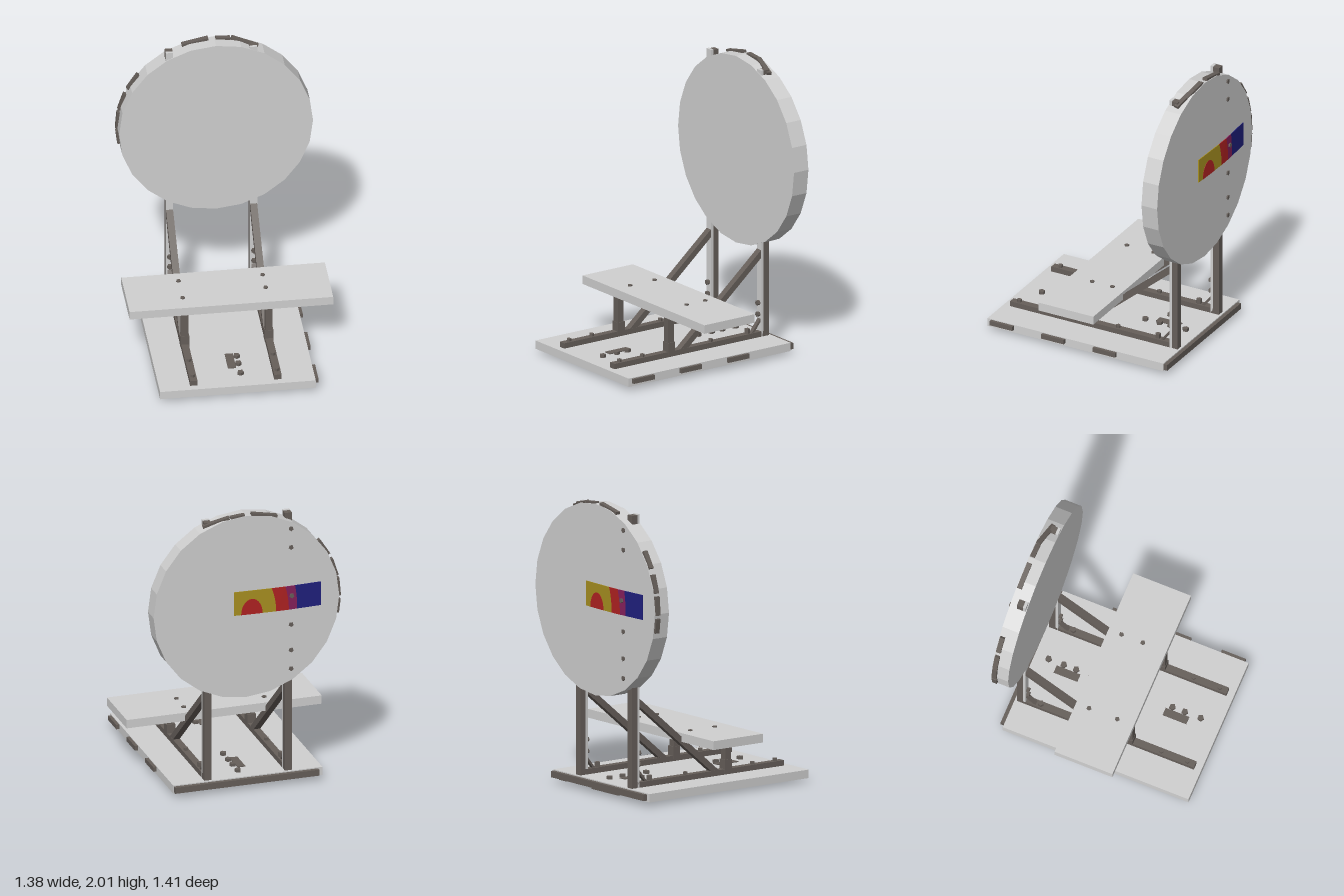
import * as THREE from 'three';

const mat = (name, color) => {
  const m = new THREE.MeshStandardMaterial({ color });
  m.name = name;
  return m;
};

export function createModel() {
  const root = new THREE.Group();
  root.name = 'targetStand';
  const light = mat('lightGrey', 0xd0d0d0);
  const dark = mat('darkGrey', 0x665f5a);
  const yellow = mat('yellow', 0xa89020);
  const red = mat('red', 0xb02222);
  const purple = mat('purple', 0x86205c);
  const blue = mat('blue', 0x20207e);

  const add = (name, geo, material) => {
    const m = new THREE.Mesh(geo, material);
    m.name = name;
    root.add(m);
    return m;
  };
  // Box given by its extents on each axis
  const box = (name, x0, x1, y0, y1, z0, z1, material = dark) => {
    const m = add(name, new THREE.BoxGeometry(x1 - x0, y1 - y0, z1 - z0), material);
    m.position.set((x0 + x1) / 2, (y0 + y1) / 2, (z0 + z1) / 2);
    return m;
  };
  // Slanted bar in the y-z plane
  const bar = (name, x, w, t, [y0, z0], [y1, z1]) => {
    const m = add(name, new THREE.BoxGeometry(w, t, Math.hypot(y1 - y0, z1 - z0)), dark);
    m.position.set(x, (y0 + y1) / 2, (z0 + z1) / 2);
    m.rotation.x = -Math.atan2(y1 - y0, z1 - z0);
    return m;
  };
  // Five-sided bolt head, upright or pointing along z
  const bolt = (x, y, z, alongZ = false, r = 0.02, h = 0.022) => {
    const m = add('bolt', new THREE.CylinderGeometry(r, r, h, 5).toNonIndexed(), dark);
    m.geometry.computeVertexNormals();
    m.position.set(x, y, z);
    if (alongZ) m.rotation.x = Math.PI / 2;
  };

  // Base board with underside panel, rear bar and edge plates
  box('baseBoard', -0.55, 0.505, 0.027, 0.085, -0.645, 0.705, light);
  box('undersidePanel', -0.13, 0.16, 0, 0.027, -0.59, 0.65);
  box('rearBar', -0.52, 0.5, 0.035, 0.078, -0.672, -0.645);
  for (const z of [0.59, 0.195, -0.2]) box('edgePlate', 0.505, 0.527, 0.048, 0.08, z - 0.087, z + 0.087);
  for (const z of [-0.55, 0.04]) box('undersidePlate', 0.37, 0.46, 0.02, 0.027, z - 0.085, z + 0.085);
  for (const z of [-0.392, 0.4]) box('topPlate', -0.06, -0.005, 0.085, 0.091, z - 0.086, z + 0.086);
  for (const z of [-0.545, -0.435, -0.345, -0.235, 0.355, 0.445, 0.56]) bolt(0.015, 0.095, z, false, 0.023);
  for (const [x, z] of [[0.255, -0.13], [-0.315, -0.13], [-0.315, -0.41]]) bolt(x, 0.023, z, false, 0.015, 0.012);

  // Two matching side frames
  for (const x of [-0.315, 0.255]) {
    const l = x - 0.025, r = x + 0.025;
    box('runner', l, r, 0.085, 0.122, -0.63, 0.657);
    box('post', l, r, 0.085, 1.955, -0.63, -0.586);
    box('postFacing', l, r, 0.085, 1.96, -0.586, -0.566, light);
    bar('brace', x, 0.048, 0.042, [0.1, 0.1], [0.7, -0.605]);
    bar('gusset', x, 0.03, 0.015, [0.115, -0.5], [0.205, -0.572]);
    box('seatPost', l, r, 0.12, 0.355, 0.163, 0.21);
    box('seatPostFoot', x - 0.03, x + 0.03, 0.1, 0.185, 0.155, 0.213);
    box('seatRail', l, r, 0.335, 0.356, -0.2, 0.2);
    for (const z of [0.6, 0.41, -0.16]) bolt(x, 0.13, z, false, 0.017);
    bolt(x, 0.135, -0.465, false, 0.02, 0.04);
    for (const y of [0.24, 0.32]) bolt(x, y, -0.556, true, 0.018);
  }

  // Seat board
  box('seatBoard', -0.69, 0.69, 0.355, 0.415, -0.21, 0.21, light);
  for (const z of [-0.05, 0.13]) box('seatUnderPlate', 0.56, 0.66, 0.349, 0.355, z - 0.065, z + 0.065);
  for (const [x, z] of [[-0.315, -0.115], [-0.315, 0.09], [0.255, -0.115], [0.255, 0.04]])
    bolt(x, 0.416, z, false, 0.017, 0.014);

  // Upright faceted disc
  const cy = 1.335, R = 0.657;
  const discGeo = new THREE.CylinderGeometry(R, R, 0.12, 24).toNonIndexed();
  discGeo.computeVertexNormals();
  const disc = add('disc', discGeo, light);
  disc.rotation.x = Math.PI / 2;
  disc.position.set(0, cy, -0.622);

  // Plates around the disc rim: angle, length, z, twist
  const rim = [[147, 0.13, -0.66, 0], [162, 0.13, -0.66, 0], [175, 0.13, -0.66, 0], [187, 0.1, -0.66, 0],
    [101.5, 0.185, -0.66, 0], [85, 0.1, -0.66, 0], [72, 0.19, -0.643, 0.2]];
  for (const [deg, len, z, twist] of rim) {
    const a = THREE.MathUtils.degToRad(deg);
    const g = new THREE.BoxGeometry(len, 0.022, 0.034);
    g.rotateY(-twist);
    const m = add('rimPlate', g, dark);
    m.position.set(Math.cos(a) * R, cy + Math.sin(a) * (R - 0.003), z);
    m.rotation.z = a - Math.PI / 2;
  }
  for (const y of [1.86, 1.725, 1.165, 0.98, 0.845]) bolt(-0.315, y, -0.683, true, 0.017, 0.016);
  bolt(-0.315, 1.38, -0.698, true, 0.017, 0.02);

  // Banded strip on the disc back, slightly raised along its middle
  const y0 = 1.28, y1 = 1.45;
  const strip = (name, pts, material, lift = 0) => {
    const g = new THREE.ExtrudeGeometry(new THREE.Shape(pts), { depth: 0.005, bevelEnabled: false });
    const p = g.attributes.position;
    for (let i = 0; i < p.count; i++) {
      const x = p.getX(i);
      const k = x > -0.25 ? (0.09 - x) / 0.34 : (x + 0.52) / 0.27;
      p.setZ(i, p.getZ(i) - 0.688 - 0.013 * k - lift);
    }
    g.computeVertexNormals();
    add(name, g, material);
  };
  const edge = (b, bow) => [0, 0.25, 0.5, 0.75, 1].map(
    t => new THREE.Vector2(b + bow * t * t, y0 + (y1 - y0) * t));
  const cuts = [edge(0.09, 0), edge(-0.205, 0.03), edge(-0.295, 0.025), edge(-0.355, 0.015), edge(-0.525, 0)];
  [['yellowBand', yellow], ['redBand', red], ['purpleBand', purple], ['blueBand', blue]].forEach(
    ([name, m], i) => strip(name, [...cuts[i], ...cuts[i + 1].slice().reverse()], m));
  const sun = [];
  for (let i = 0; i <= 14; i++) {
    const a = Math.PI * i / 14;
    sun.push(new THREE.Vector2(-0.035 + 0.075 * Math.cos(a), y0 + 0.11 * Math.sin(a)));
  }
  strip('redHalfDisc', sun, red, 0.002);

  return root;
}
